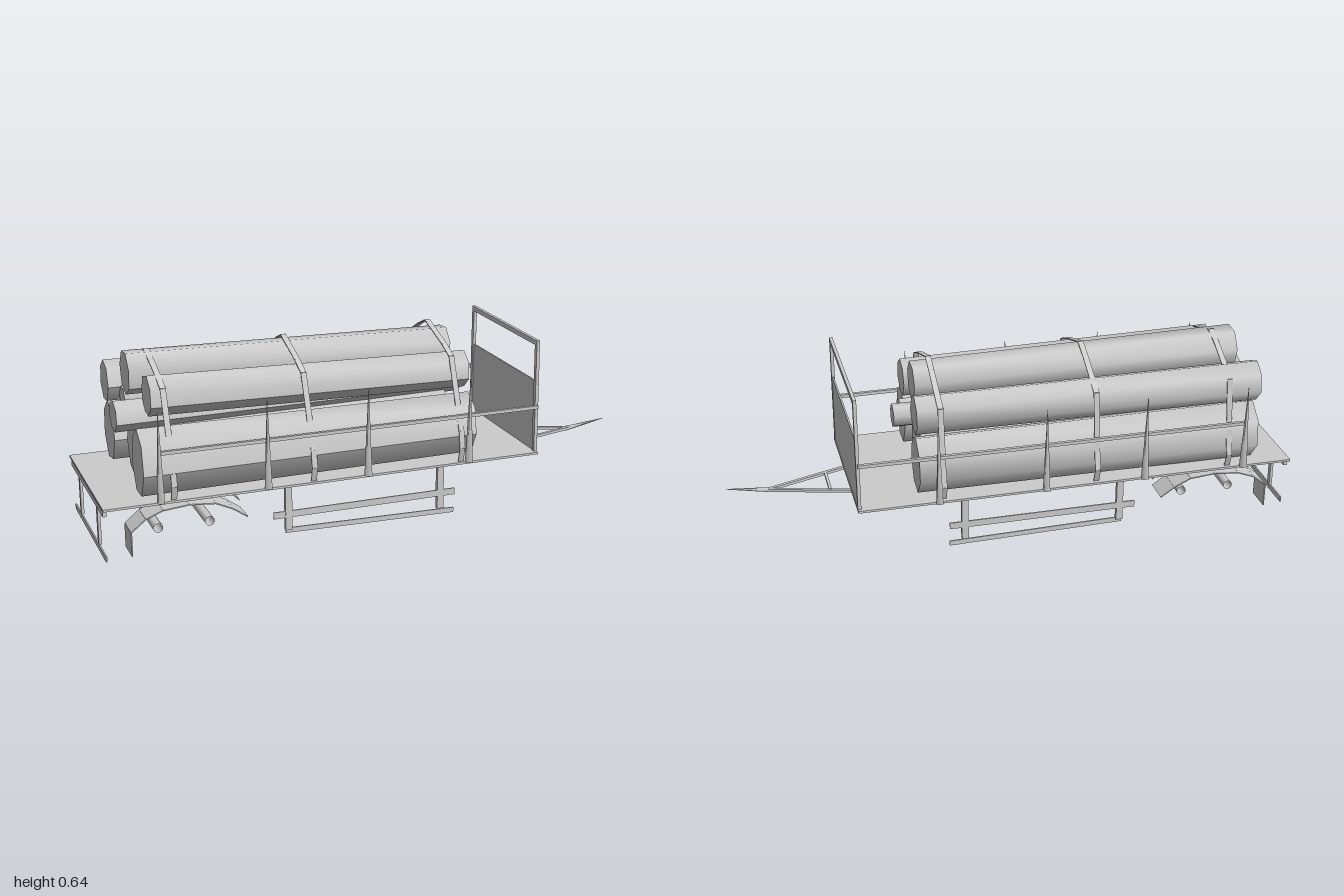
import * as THREE from 'three';

const material = new THREE.MeshStandardMaterial({ color: 0xcccccc, side: THREE.DoubleSide });

export function createModel() {
  const model = new THREE.Group();

  function add(name, geometry, x = 0, y = 0, z = 0) {
    const mesh = new THREE.Mesh(geometry, material);
    mesh.name = name;
    mesh.position.set(x, y, z);
    model.add(mesh);
    return mesh;
  }

  // Box given by its minimum and maximum corners
  function box(name, a, b) {
    const s = b.map((v, i) => v - a[i]);
    const c = b.map((v, i) => (v + a[i]) / 2);
    return add(name, new THREE.BoxGeometry(...s), ...c);
  }

  // Straight bar between two points
  function beam(name, a, b, width, thickness) {
    const p = new THREE.Vector3(...a), q = new THREE.Vector3(...b);
    const mesh = add(name, new THREE.BoxGeometry(width, thickness, p.distanceTo(q)));
    mesh.position.copy(p).add(q).multiplyScalar(0.5);
    mesh.lookAt(q);
    return mesh;
  }

  // Tapered log along x, from a rear to a front cross-section
  function log(x0, x1, y0, y1, z0, z1, ry, rz, taper, turn) {
    const g = new THREE.CylinderGeometry(taper, 1, x1 - x0, 7);
    g.rotateY(turn).rotateZ(-Math.PI / 2).scale(1, ry, rz);
    const p = g.attributes.position;
    for (let i = 0; i < p.count; i++) {
      const t = p.getX(i) / (x1 - x0) + 0.5;
      p.setY(i, p.getY(i) + y0 + (y1 - y0) * t);
      p.setZ(i, p.getZ(i) + z0 + (z1 - z0) * t);
    }
    g.computeVertexNormals();
    add('log', g, (x0 + x1) / 2);
  }

  // Deck
  box('deck', [-1, 0.19, -0.285], [0.58, 0.198, 0.285]);

  // Headboard panel and frame
  const panel = new THREE.Shape([
    [-0.275, 0.2], [0.275, 0.2], [0.262, 0.3], [0.255, 0.46], [-0.255, 0.46], [-0.262, 0.3],
  ].map(([x, y]) => new THREE.Vector2(x, y)));
  add('headboardPanel', new THREE.ExtrudeGeometry(panel, { depth: 0.006, bevelEnabled: false }), 0.572)
    .rotation.y = Math.PI / 2;
  box('headboardTopRail', [0.568, 0.592, -0.27], [0.58, 0.61, 0.27]);
  for (const s of [-1, 1]) {
    beam('headboardPost', [0.574, 0.2, s * 0.268], [0.574, 0.61, s * 0.262], 0.012, 0.016);
  }

  // Load: three wide logs below, narrower ones above
  log(-0.86, 0.34, 0.315, 0.315, 0.2, 0.195, 0.118, 0.085, 0.95, 0.2);
  log(-0.83, 0.32, 0.3, 0.3, 0.01, 0, 0.105, 0.1, 0.95, 0.5);
  log(-0.87, 0.36, 0.305, 0.305, -0.195, -0.19, 0.11, 0.088, 0.95, 0.1);
  log(-0.9, 0.38, 0.43, 0.42, 0.03, 0.0, 0.055, 0.06, 0.85, 0.3);
  log(-0.84, 0.42, 0.445, 0.45, -0.09, -0.09, 0.05, 0.045, 0.85, 0.7);
  log(-0.8, 0.35, 0.515, 0.495, 0.105, 0.12, 0.072, 0.068, 0.95, 0.4);
  log(-0.84, 0.34, 0.56, 0.545, -0.035, -0.03, 0.078, 0.073, 0.93, 0.6);
  log(-0.88, 0.36, 0.49, 0.49, -0.19, -0.18, 0.075, 0.066, 0.95, 0.1);

  // Straps over the load
  const strap = [[0.288, 0.25], [0.277, 0.31], [0.178, 0.557], [0.115, 0.585], [-0.04, 0.636],
    [-0.1, 0.61], [-0.245, 0.53], [-0.272, 0.32], [-0.288, 0.25], [-0.27, 0.2]];
  for (const [x, lift] of [[-0.76, -0.003], [-0.27, 0], [0.28, 0.002]]) {
    beam('strap', [x, 0.2, 0.275], [x, 0.25 + lift, 0.288], 0.02, 0.004);
    for (let i = 0; i + 1 < strap.length; i++) {
      const [[z0, y0], [z1, y1]] = [strap[i], strap[i + 1]];
      beam('strap', [x, y0 + lift, z0], [x, y1 + lift, z1], 0.02, 0.004);
    }
  }

  // Arched fender profile as a strip of thin beams
  const arch = [[-0.91, 0.105], [-0.86, 0.145], [-0.8, 0.168], [-0.71, 0.176], [-0.62, 0.168], [-0.56, 0.14], [-0.51, 0.105]];

  for (const s of [-1, 1]) {
    // Pointed stakes and side rail
    for (const x of [-0.81, -0.44, -0.08, 0.3]) {
      const g = new THREE.CylinderGeometry(0.001, 0.015, 0.312, 4).rotateY(Math.PI / 4);
      add('stake', g, x, 0.358, s * 0.301);
    }
    beam('sideRail', [-0.81, 0.37, s * 0.288], [0.575, 0.368, s * 0.28], 0.012, 0.012);

    // Side underrun guard
    for (const x of [-0.36, 0.205]) box('guardPost', [x - 0.012, 0.03, s * 0.265 - 0.008], [x + 0.012, 0.19, s * 0.265 + 0.008]);
    beam('guardUpperRail', [-0.415, 0.088, s * 0.27], [0.26, 0.088, s * 0.27], 0.005, 0.024);
    beam('guardLowerRail', [-0.37, 0.026, s * 0.262], [0.26, 0.014, s * 0.262], 0.005, 0.018);

    // Fender and mud flap
    for (let i = 0; i + 1 < arch.length; i++) {
      const z = s * 0.237;
      beam('fender', [...arch[i], z], [...arch[i + 1], z], 0.095, 0.004);
    }
    box('mudFlap', [-0.912, 0.02, s * 0.237 - 0.048], [-0.908, 0.105, s * 0.237 + 0.048]);

    // Rear bumper post and brace
    box('bumperPost', [-0.995, 0.025, s * 0.148 - 0.01], [-0.985, 0.19, s * 0.148 + 0.01]);
    beam('bumperBrace', [-0.985, 0.13, s * 0.148], [-0.945, 0.185, s * 0.148], 0.018, 0.006);

    // Drawbar arm
    beam('drawbarArm', [0.45, 0.176, s * 0.128], [0.86, 0.167, 0], 0.012, 0.01);
  }

  // Rear bumper beams
  box('rearBumper', [-0.995, 0.004, -0.25], [-0.99, 0.024, 0.265]);
  box('rearCrossBar', [-0.998, 0.165, -0.265], [-0.985, 0.185, 0.265]);

  // Axles, suspension plate and cross plate
  for (const x of [-0.8, -0.62]) {
    add('axle', new THREE.CylinderGeometry(0.017, 0.017, 0.4, 10, 1, true).rotateX(Math.PI / 2), x, 0.073, 0);
  }
  box('suspensionPlate', [-0.78, 0.11, -0.095], [-0.57, 0.113, 0.095]);
  beam('crossPlate', [-0.51, 0.13, 0], [-0.56, 0.18, 0], 0.38, 0.004);

  // Drawbar tie and hitch tip
  box('drawbarTie', [0.64, 0.168, -0.065], [0.65, 0.178, 0.065]);
  const tip = add('hitchTip', new THREE.CylinderGeometry(0.001, 0.009, 0.16, 6), 0.925, 0.177, 0);
  tip.rotation.z = -Math.PI / 2 + 0.14;

  return model;
}
